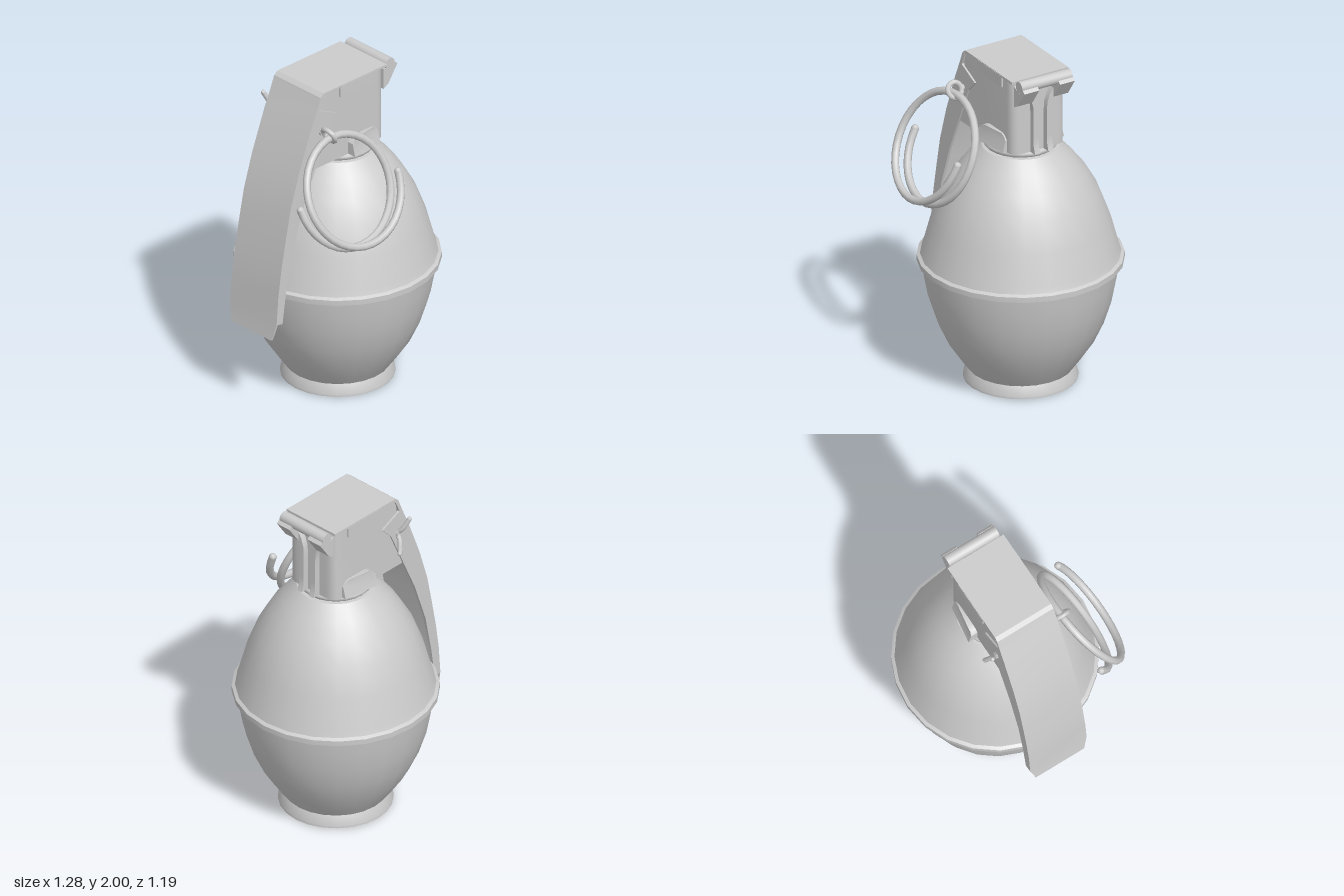
import * as THREE from 'three';
import { toCreasedNormals } from 'three/addons/utils/BufferGeometryUtils.js';

const mat = new THREE.MeshStandardMaterial({ color: 0xcccccc, side: THREE.DoubleSide });
const V2 = (p) => new THREE.Vector2(p[0], p[1]);
const V3 = (x, y, z) => new THREE.Vector3(x, y, z);

function add(parent, name, geo, crease = 0.6) {
  const mesh = new THREE.Mesh(toCreasedNormals(geo, crease), mat);
  mesh.name = name;
  parent.add(mesh);
  return mesh;
}

// Outline in x/y, extruded from z0 to z1
function plate(points, z0, z1) {
  const geo = new THREE.ExtrudeGeometry(new THREE.Shape(points.map(V2)), { depth: z1 - z0, bevelEnabled: false });
  return geo.translate(0, 0, z0);
}

function box(x0, x1, y0, y1, z0, z1) {
  return new THREE.BoxGeometry(x1 - x0, y1 - y0, z1 - z0)
    .translate((x0 + x1) / 2, (y0 + y1) / 2, (z0 + z1) / 2);
}

// Moves every vertex by a rule
function reshape(geo, rule) {
  const pos = geo.attributes.position, v = new THREE.Vector3();
  for (let i = 0; i < pos.count; i++) {
    v.fromBufferAttribute(pos, i);
    rule(v);
    pos.setXYZ(i, v.x, v.y, v.z);
  }
  return geo;
}

// Round wire with closed ends
function wire(parent, name, points, radius, segments) {
  const curve = new THREE.CatmullRomCurve3(points);
  add(parent, name, new THREE.TubeGeometry(curve, segments, radius, 8), 1);
  for (const p of [points[0], points[points.length - 1]]) {
    add(parent, name + 'End', new THREE.SphereGeometry(radius, 8, 6).translate(p.x, p.y, p.z), 1);
  }
}

export function createModel() {
  const model = new THREE.Group();
  const axis = 0.043;

  // Egg-shaped body with foot and waist band
  const profile = [[0, 0], [0.33, 0.005], [0.33, 0.02], [0.305, 0.075], [0.345, 0.13], [0.425, 0.25],
    [0.485, 0.38], [0.53, 0.52], [0.555, 0.65], [0.568, 0.735], [0.594, 0.742], [0.594, 0.774],
    [0.575, 0.785], [0.563, 0.82], [0.515, 1.0], [0.45, 1.17], [0.375, 1.3], [0.3, 1.395], [0.225, 1.47],
    [0.19, 1.475], [0, 1.475]];
  add(model, 'body', new THREE.LatheGeometry(profile.map(V2), 24).translate(axis, 0, 0));

  // Neck ring
  const collar = [[0.18, 1.46], [0.205, 1.475], [0.215, 1.487], [0.215, 1.5], [0.205, 1.512], [0.18, 1.518], [0, 1.518]];
  add(model, 'neckRing', new THREE.LatheGeometry(collar.map(V2), 24).translate(axis, 0, 0), 1);

  // Fuze head: rounded plan, sloped on the lever side
  const plan = new THREE.Shape();
  plan.moveTo(-0.33, -0.18);
  plan.lineTo(0.18, -0.18);
  plan.quadraticCurveTo(0.245, -0.18, 0.245, -0.11);
  plan.lineTo(0.245, 0.11);
  plan.quadraticCurveTo(0.245, 0.18, 0.18, 0.18);
  plan.lineTo(-0.33, 0.18);
  const head = new THREE.ExtrudeGeometry(plan, { depth: 0.46, bevelEnabled: false, curveSegments: 6 })
    .rotateX(-Math.PI / 2).translate(0, 1.512, 0);
  reshape(head, (v) => { if (v.y > 1.9 && v.x < -0.2) v.x = -0.26; });
  add(model, 'fuzeHead', head);

  // Safety lever: bent sheet, tapered at its tip
  const lever = new THREE.Group();
  lever.name = 'safetyLever';
  model.add(lever);
  const outer = [[0.25, 1.985], [-0.25, 1.985], [-0.275, 1.965], [-0.305, 1.89], [-0.35, 1.79], [-0.45, 1.53],
    [-0.515, 1.32], [-0.55, 1.15], [-0.585, 0.97], [-0.61, 0.8], [-0.624, 0.62], [-0.64, 0.515]];
  const inner = outer.map(([x, y], i) => [x + (i ? 0.014 : 0), y - (i < 3 ? 0.014 : 0)]).reverse();
  const sheet = plate([...outer, ...inner], -0.19, 0.19);
  reshape(sheet, (v) => { if (v.y < 0.55) v.z *= 0.86; });
  add(lever, 'leverSheet', sheet, 0.4);

  // Lever side flanges and folded tabs
  const flange = [...outer.slice(2, 11), [-0.577, 0.61], [-0.55, 0.8], [-0.5, 1.05], [-0.41, 1.31],
    [-0.32, 1.51], [-0.215, 1.745], [-0.145, 1.82], [-0.285, 1.885], [-0.25, 1.965]];
  for (const s of [-1, 1]) {
    const z = s * 0.183;
    add(lever, 'leverFlange', plate(flange, z - 0.008, z + 0.008), 0.3);
    add(lever, 'leverTab', box(-0.12, 0.14, 1.91, 1.98, z - 0.009, z + 0.009));
  }

  // Tapered lugs on both sides of the head
  const lugOutline = [[-0.05, 1.515], [0.18, 1.515], [0.18, 1.585], [0.165, 1.605], [0.14, 1.62], [0, 1.62], [-0.03, 1.612], [-0.05, 1.59]];
  for (const s of [-1, 1]) {
    const lug = plate(lugOutline, 0.15, 0.24);
    reshape(lug, (v) => {
      if (v.z > 0.2) v.z -= Math.max(0, v.x - 0.06) * 0.28 + (v.y - 1.515) * 0.25;
      v.z *= s;
    });
    if (s < 0) {
      const index = [...Array(lug.attributes.position.count).keys()];
      for (let i = 0; i < index.length; i += 3) [index[i + 1], index[i + 2]] = [index[i + 2], index[i + 1]];
      lug.setIndex(index);
    }
    add(model, 'headLug', lug);
  }

  // Hinge pin with its support ribs and prongs
  add(model, 'hingePin', new THREE.CylinderGeometry(0.036, 0.036, 0.34, 12).rotateX(Math.PI / 2).translate(0.295, 1.964, 0));
  for (const s of [-1, 1]) {
    const z = s * 0.045;
    const rib = new THREE.BoxGeometry(0.05, 0.4, 0.035, 1, 8, 1).translate(0.255, 1.712, z);
    reshape(rib, (v) => {
      const t = Math.max(0, (v.y - 1.78) / 0.132);
      v.z += s * 0.05 * t * t;
      if (v.y < 1.55 && v.x > 0.26) v.x += 0.015;
    });
    add(model, 'hingeRib', rib);
    const prong = plate([[0.24, 1.82], [0.28, 1.84], [0.352, 1.945], [0.335, 1.962], [0.3, 1.925], [0.24, 1.95]],
      s * 0.12 - 0.05, s * 0.12 + 0.05);
    add(model, 'hingeProng', prong, 0.4);
  }

  // Split pin: eye, shank and two spread legs
  const pin = new THREE.Group();
  pin.name = 'splitPin';
  model.add(pin);
  add(pin, 'pinEye', new THREE.TorusGeometry(0.045, 0.016, 8, 16)
    .rotateY(Math.PI / 2).rotateZ(0.45).translate(-0.265, 1.743, 0.25), 1.2);
  add(pin, 'pinShank', new THREE.CylinderGeometry(0.02, 0.02, 0.41, 8).rotateX(Math.PI / 2).translate(-0.27, 1.745, 0));
  for (const s of [-1, 1]) {
    wire(pin, 'pinLeg', [V3(-0.27, 1.745, -0.18), V3(-0.27 - s * 0.01, 1.745 + s * 0.03, -0.215),
      V3(-0.27 - s * 0.025, 1.745 + s * 0.065, -0.232), V3(-0.27 - s * 0.04, 1.745 + s * 0.1, -0.245)], 0.014, 8);
  }

  // Pull ring: one and a half turns of tilted coil
  const coil = [];
  for (let i = 0; i <= 36; i++) {
    const a = Math.PI + (i / 36) * Math.PI * 3;
    const off = (i / 36 - 0.5) * 0.14;
    const up = Math.sin(a);
    coil.push(V3(-0.24 + 0.325 * Math.cos(a), 1.428 + 0.295 * up + 0.42 * off, 0.39 - 0.14 * up + 0.9 * off));
  }
  wire(model, 'pullRing', coil, 0.023, 54);

  return model;
}
